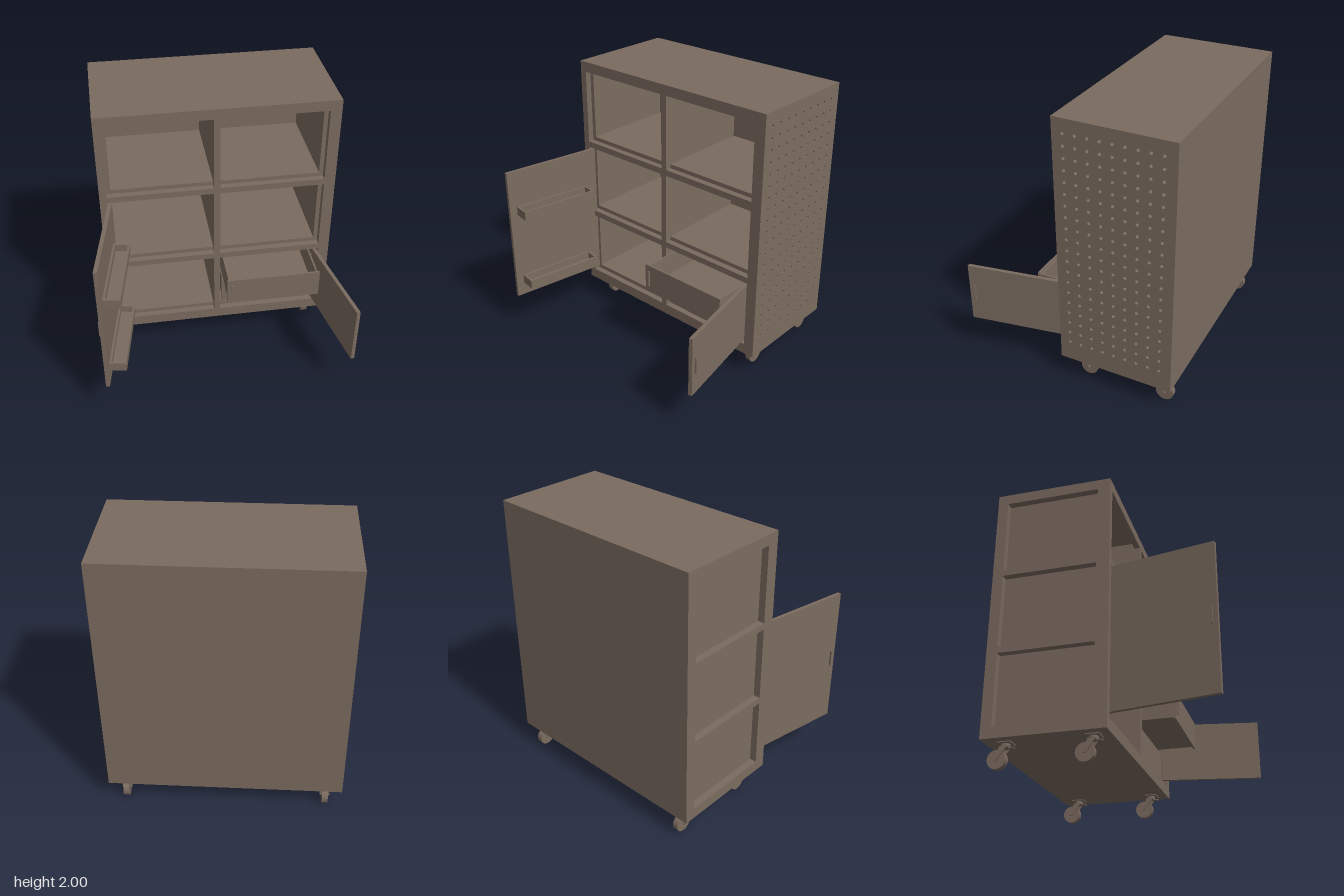
import * as THREE from 'three';

const paint = new THREE.MeshStandardMaterial({ color: 0x7b6b5f });
paint.name = 'taupe paint';

function add(parent, name, geometry) {
  const mesh = new THREE.Mesh(geometry, paint);
  mesh.name = name;
  parent.add(mesh);
  return mesh;
}

// Box given by its min and max along each axis
function box(parent, name, x0, x1, y0, y1, z0, z1) {
  const g = new THREE.BoxGeometry(x1 - x0, y1 - y0, z1 - z0);
  g.translate((x0 + x1) / 2, (y0 + y1) / 2, (z0 + z1) / 2);
  return add(parent, name, g);
}

function group(parent, name) {
  const g = new THREE.Group();
  g.name = name;
  parent.add(g);
  return g;
}

// Rectangular plate in the XY plane with the given holes
function plate(x0, x1, y0, y1, holes, depth) {
  const s = new THREE.Shape();
  s.moveTo(x0, y0).lineTo(x1, y0).lineTo(x1, y1).lineTo(x0, y1).closePath();
  s.holes = holes;
  return new THREE.ExtrudeGeometry(s, { depth, bevelEnabled: false, curveSegments: 10 });
}

function rectHole([x0, x1], [y0, y1]) {
  const p = new THREE.Path();
  p.moveTo(x0, y0).lineTo(x0, y1).lineTo(x1, y1).lineTo(x1, y0).closePath();
  return p;
}

const ROWS = [[0.25, 0.755], [0.80, 1.335], [1.38, 1.925]];
const COLUMNS = [[-0.77, -0.025], [0.02, 0.765]];

function cabinet(parent) {
  const c = group(parent, 'cabinet');
  // Outer skins
  box(c, 'topPanel', -0.82, 0.845, 1.97, 2, -0.775, 0.055);
  box(c, 'bottomPanel', -0.82, 0.845, 0.17, 0.20, -0.775, 0.055);
  box(c, 'backPanel', -0.82, 0.845, 0.20, 1.97, -0.775, -0.745);
  box(c, 'backLining', -0.77, 0.765, 0.20, 1.97, -0.745, -0.71);

  // Front frame with six openings
  const cells = COLUMNS.flatMap(col => ROWS.map(row => rectHole(col, row)));
  add(c, 'frontFrame', plate(-0.82, 0.815, 0.20, 1.97, cells, 0.045)).position.z = 0.01;

  // Side frames, each with three bays; shape x runs along -z
  for (const x of [-0.82, 0.765]) {
    const bays = ROWS.map(row => rectHole([0.035, 0.70], row));
    const frame = add(c, 'sideFrame', plate(-0.01, 0.745, 0.20, 1.97, bays, 0.05));
    frame.rotation.y = Math.PI / 2;
    frame.position.x = x;
  }
  box(c, 'leftLining', -0.77, -0.74, 0.25, 1.97, -0.71, 0.01);
  box(c, 'rightLining', 0.735, 0.765, 0.25, 1.97, -0.71, 0.01);
  box(c, 'divider', -0.025, 0.02, 0.20, 1.97, -0.71, 0.01);

  // Perforated side board
  const holes = [];
  for (let i = 0; i < 9; i++) {
    for (let j = 0; j < 20; j++) {
      const p = new THREE.Path();
      p.absarc(0.021 + i * 0.0836, 0.32 + j * 0.0832, 0.0115, 0, Math.PI * 2, true);
      holes.push(p);
    }
  }
  const board = add(c, 'pegboard', plate(-0.055, 0.745, 0.20, 1.97, holes, 0.03));
  board.rotation.y = Math.PI / 2;
  board.position.x = 0.815;

  // Shelves rest on the rails
  for (const [y] of ROWS) {
    box(c, 'shelf', -0.74, -0.025, y, y + 0.03, -0.71, 0.01);
    box(c, 'shelf', 0.02, 0.735, y, y + 0.03, -0.71, 0.01);
  }
}

// Open-topped box made of a floor and four thin walls
function openBox(parent, name, x0, x1, y0, y1, z0, z1, t) {
  const g = group(parent, name);
  box(g, 'floor', x0, x1, y0, y0 + t, z0, z1);
  box(g, 'wall', x0, x0 + t, y0 + t, y1, z0, z1);
  box(g, 'wall', x1 - t, x1, y0 + t, y1, z0, z1);
  box(g, 'wall', x0 + t, x1 - t, y0 + t, y1, z0, z0 + t);
  box(g, 'wall', x0 + t, x1 - t, y0 + t, y1, z1 - t, z1);
}

function drawer(parent, y0, y1, z) {
  const d = group(parent, 'drawer');
  d.position.z = z;
  box(d, 'drawerFront', 0.037, 0.722, y0, y1, -0.015, 0);
  openBox(d, 'drawerBox', 0.047, 0.712, y0 + 0.015, y1 - 0.015, -0.68, -0.015, 0.013);
  box(d, 'drawerHandle', 0.065, 0.078, y0 + 0.045, y0 + 0.165, 0, 0.013);
}

// Door swung open; it runs along local +z from its hinge, side = +1 or -1
function door(parent, side, hingeX, y0, y1, trays) {
  const d = group(parent, side > 0 ? 'leftDoor' : 'rightDoor');
  d.position.set(hingeX, 0, 0.03);
  d.rotation.y = side * Math.PI / 18;
  box(d, 'doorPanel', -0.0135, 0.0135, y0, y1, 0, 0.75);
  const mid = (y0 + y1) / 2, a = side * 0.0135, b = side * 0.026;
  box(d, 'doorHandle', Math.min(a, b), Math.max(a, b), mid - 0.062, mid + 0.062, 0.705, 0.718);
  for (const y of trays) openBox(d, 'doorTray', 0.0135, 0.132, y, y + 0.068, 0.10, 0.692, 0.015);
}

// Swivel caster with its wheel trailing behind
function caster(parent, x, z) {
  const c = group(parent, 'caster');
  c.position.set(x, 0, z);
  box(c, 'mountPlate', -0.05, 0.05, 0.163, 0.17, 0.01, 0.10);
  add(c, 'swivel', new THREE.CylinderGeometry(0.032, 0.032, 0.02, 20)).position.set(0, 0.153, 0.05);
  box(c, 'forkBridge', -0.033, 0.033, 0.137, 0.146, 0.02, 0.075);
  box(c, 'brakeTab', -0.018, 0.018, 0.132, 0.138, 0.075, 0.11);

  const wheel = new THREE.CylinderGeometry(0.063, 0.063, 0.042, 32);
  wheel.rotateZ(Math.PI / 2);
  add(c, 'wheel', wheel).position.y = 0.063;
  const axle = new THREE.CylinderGeometry(0.008, 0.008, 0.07, 12);
  axle.rotateZ(Math.PI / 2);
  add(c, 'axle', axle).position.y = 0.063;

  // Slanted fork arms
  const s = new THREE.Shape();
  s.moveTo(0.008, 0.055).lineTo(-0.015, 0.065).lineTo(-0.075, 0.146).lineTo(-0.02, 0.146).closePath();
  for (const ax of [-0.033, 0.027]) {
    const arm = add(c, 'forkArm', new THREE.ExtrudeGeometry(s, { depth: 0.006, bevelEnabled: false }));
    arm.rotation.y = Math.PI / 2;
    arm.position.x = ax;
  }
}

export function createModel() {
  const model = new THREE.Group();
  model.name = 'rollingCabinet';
  cabinet(model);
  drawer(model, 0.515, 0.725, 0.295);
  drawer(model, 0.29, 0.508, 0.015);
  door(model, 1, 0.743, 0.288, 0.735, []);
  door(model, -1, -0.75, 0.288, 1.32, [0.39, 0.972]);
  for (const x of [-0.705, 0.73]) for (const z of [-0.113, -0.695]) caster(model, x, z);
  return model;
}
